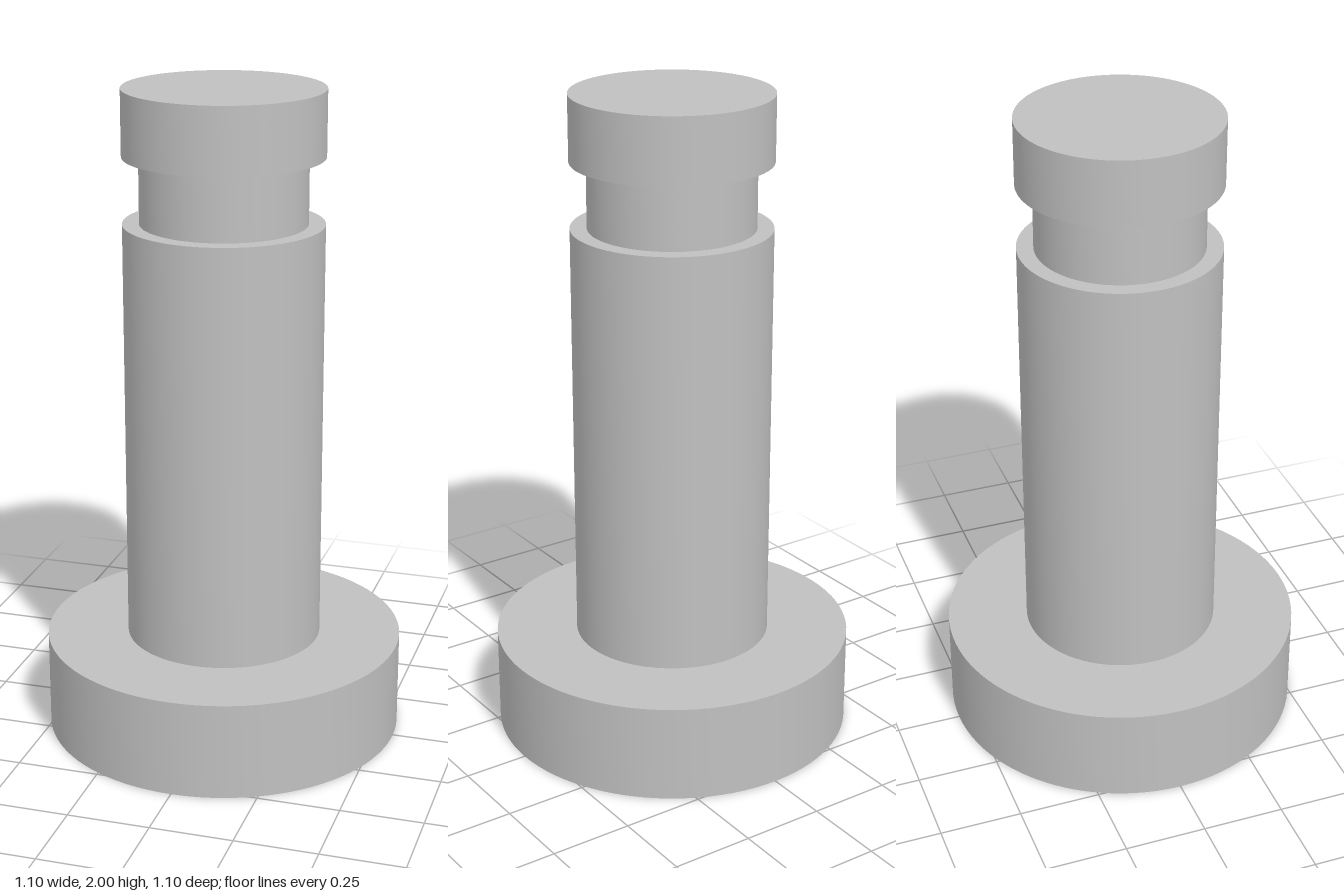
import * as THREE from 'three';
import { toCreasedNormals } from 'three/addons/utils/BufferGeometryUtils.js';

const SEGMENTS = 96;

export function createModel() {
  const group = new THREE.Group();
  group.name = 'groovedPin';

  const steel = new THREE.MeshStandardMaterial({ color: 0xc0c0c0 });
  steel.name = 'steel grey';

  // Turned part from [radius, height] points, listed bottom to top
  function turned(name, profile) {
    const points = profile.map(([r, y]) => new THREE.Vector2(r, y));
    const geometry = toCreasedNormals(new THREE.LatheGeometry(points, SEGMENTS), 0.6);
    const mesh = new THREE.Mesh(geometry, steel);
    mesh.name = name;
    group.add(mesh);
  }

  const flangeR = 0.55, shankR = 0.3, neckR = 0.25;

  // Wide foot with its upper shoulder
  turned('baseFlange', [[0, 0], [flangeR, 0], [flangeR, 0.3], [shankR, 0.3]]);
  // Long shaft with the lower lip of the groove
  turned('shank', [[shankR, 0.3], [shankR, 1.6], [neckR, 1.6]]);
  // Narrow groove
  turned('grooveNeck', [[neckR, 1.6], [neckR, 1.8]]);
  // Head with the upper lip of the groove
  turned('head', [[neckR, 1.8], [shankR, 1.8], [shankR, 2], [0, 2]]);

  return group;
}
